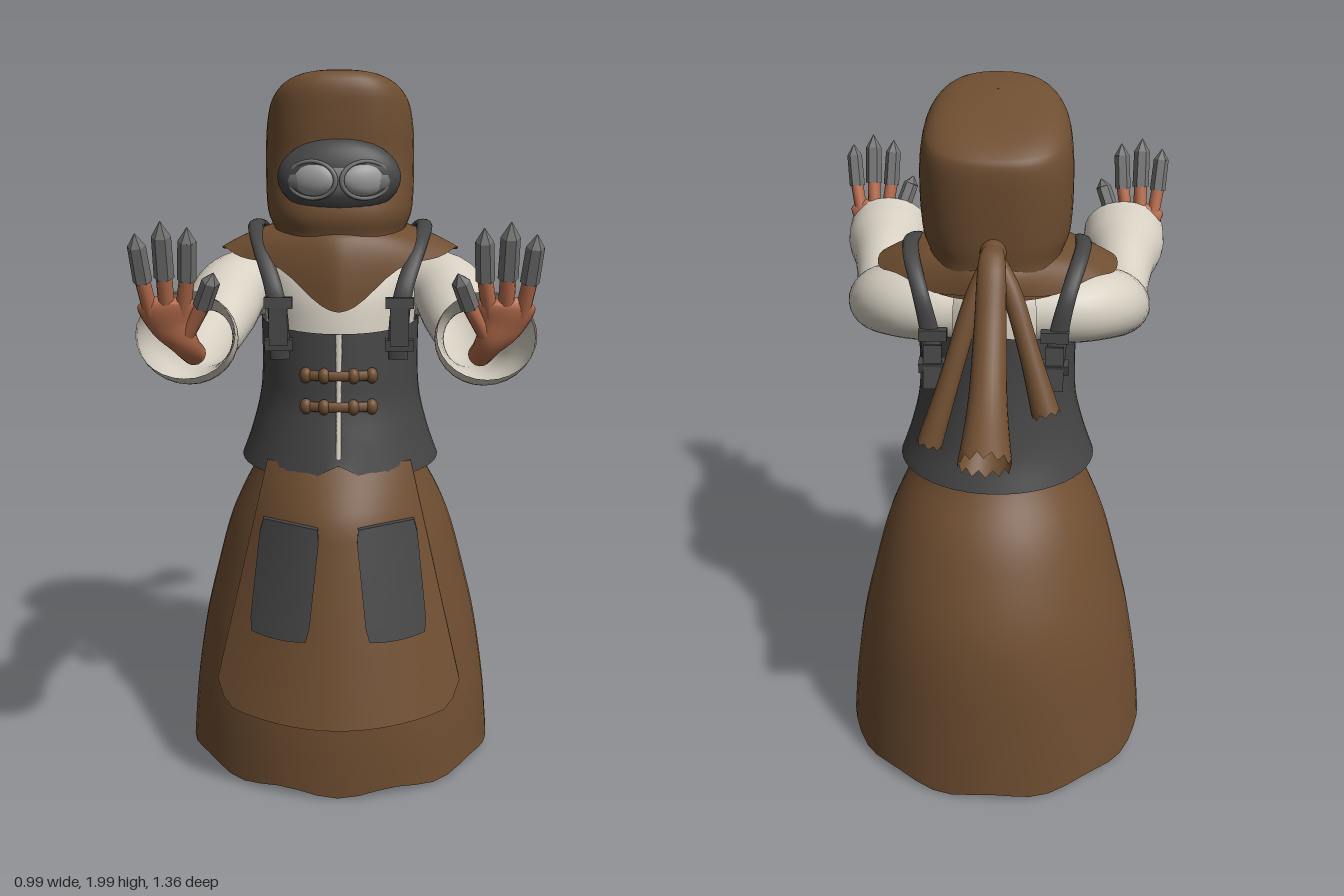
import * as THREE from 'three';

const flat = (name, color) => {
  const m = new THREE.MeshStandardMaterial({ color, side: THREE.DoubleSide });
  m.name = name;
  return m;
};
const MAT = {
  brown: flat('brown cloth', 0x6f4e31),
  dark: flat('dark leather', 0x454545),
  cream: flat('cream linen', 0xd6cfc2),
  skin: flat('skin', 0xb56c4c),
  metal: flat('claw metal', 0x737373),
  lens: flat('lens glass', 0x9a9a9c),
};

// Smooth interpolation through rows of numbers (all rows equally long)
function interp(rows, t) {
  const f = Math.min(Math.max(t, 0), 1) * (rows.length - 1);
  const i = Math.min(Math.floor(f), rows.length - 2), k = f - i;
  const a = rows[Math.max(i - 1, 0)], b = rows[i], c = rows[i + 1], d = rows[Math.min(i + 2, rows.length - 1)];
  return b.map((p1, n) => {
    const m0 = (c[n] - a[n]) / 2, m1 = (d[n] - p1) / 2;
    return p1 + k * (m0 + k * (3 * (c[n] - p1) - 2 * m0 - m1 + k * (2 * (p1 - c[n]) + m0 + m1)));
  });
}

// Closed skin around an axis: fn(angle, t) gives a point
function skin(nu, nv, fn, faceted = false) {
  const pos = [], idx = [];
  for (let j = 0; j <= nv; j++) for (let i = 0; i < nu; i++) pos.push(...fn(i / nu * Math.PI * 2, j / nv));
  for (let j = 0; j < nv; j++) for (let i = 0; i < nu; i++) {
    const a = j * nu + i, b = j * nu + (i + 1) % nu;
    idx.push(a, b, a + nu, b, b + nu, a + nu);
  }
  let g = new THREE.BufferGeometry();
  g.setAttribute('position', new THREE.Float32BufferAttribute(pos, 3));
  g.setIndex(idx);
  if (faceted) g = g.toNonIndexed();
  g.computeVertexNormals();
  return g;
}

// Upright form; rows are [y, halfWidth, zFront, zBack, tilt]
function loft(rows, { pow = 1, lift = () => 0 } = {}) {
  const sp = v => Math.sign(v) * Math.abs(v) ** pow;
  return skin(48, 32, (a, t) => {
    const [y, w, zf, zb, tilt = 0] = interp(rows, t);
    const z = (zf + zb) / 2 + (zf - zb) / 2 * sp(Math.cos(a));
    return [w * sp(Math.sin(a)), y + tilt * z + lift(a, t), z];
  });
}

// Tube along a path; rows are [x, y, z, radius along ref, other radius]
function limb(rows, ref, { seg = 16, steps = 20, faceted = false, fray = 0 } = {}) {
  const at = t => new THREE.Vector3(...interp(rows, t).slice(0, 3));
  return skin(seg, steps, (a, t) => {
    const [x, y, z, r1, r2] = interp(rows, t);
    const T = at(t + 0.01).sub(at(t - 0.01)).normalize();
    const n1 = ref.clone().addScaledVector(T, -ref.dot(T)).normalize();
    const n2 = T.clone().cross(n1);
    const p = new THREE.Vector3(x, y, z).addScaledVector(n1, r1 * Math.cos(a)).addScaledVector(n2, r2 * Math.sin(a));
    if (fray && t === 1) p.addScaledVector(T, fray * Math.cos(a * seg / 2));
    return p.toArray();
  }, faceted);
}

// Curved slab: fn(u, v, side) with u and v in -1..1
function slab(nx, ny, fn) {
  const g = new THREE.BoxGeometry(2, 2, 1, nx, ny, 1), p = g.attributes.position;
  for (let i = 0; i < p.count; i++) p.setXYZ(i, ...fn(p.getX(i), p.getY(i), p.getZ(i)));
  g.computeVertexNormals();
  return g;
}

// Apron surface shared by the pockets
const apronWidth = y => 0.215 + (0.87 - y) * 0.23;
function apronZ(x, y) {
  const mid = y > 0.8 ? 0.34 - (y - 0.8) * 0.6 : 0.34 + (0.8 - y) * 0.21;
  const edge = 0.205 + (0.8 - y) * 0.15;
  return mid - (mid - edge) * (x / apronWidth(y)) ** 2;
}

export function createModel() {
  const model = new THREE.Group();
  const X = new THREE.Vector3(1, 0, 0), Y = new THREE.Vector3(0, 1, 0);
  const add = (name, geo, mat) => {
    const m = new THREE.Mesh(geo, mat);
    m.name = name;
    model.add(m);
    return m;
  };
  const ball = (name, mat, x, y, z, rx, ry, rz, turn = 0) => {
    const m = add(name, new THREE.SphereGeometry(1, 24, 16), mat);
    m.position.set(x, y, z);
    m.scale.set(rx, ry, rz);
    m.rotation.y = turn;
  };
  const box = (name, mat, x, y, z, w, h, d, tilt) => {
    const m = add(name, new THREE.BoxGeometry(w, h, d), mat);
    m.position.set(x, y, z);
    m.rotation.x = tilt;
  };

  // Skirt with a wavy hem
  add('skirt', loft([[0.02, 0.445, 0.365, -0.48], [0.2, 0.43, 0.37, -0.478], [0.4, 0.4, 0.355, -0.47],
    [0.55, 0.365, 0.335, -0.445], [0.7, 0.325, 0.305, -0.385], [0.8, 0.285, 0.28, -0.33],
    [0.9, 0.235, 0.25, -0.25], [0.99, 0.2, 0.2, -0.2]],
  { lift: (a, t) => (1 - t) ** 8 * (-0.01 * Math.cos(a * 2) - 0.01 * Math.cos(a * 9)) }), MAT.brown);

  // Apron with rounded lower corners
  add('apron', slab(24, 18, (u, v, s) => {
    const corner = 0.06 * Math.max(0, (Math.abs(u) - 0.8) / 0.2) ** 2;
    const y0 = 0.25 + 0.015 * u * u + corner, y = y0 + (0.94 - y0) * (v + 1) / 2, x = u * apronWidth(y);
    return [x, y, apronZ(x, y) - (s < 0 ? 0.035 : 0)];
  }), MAT.brown);
  for (const s of [1, -1]) add('apronPocket', slab(8, 8, (u, v, d) => {
    const cut = 1 - 0.08 * Math.max(0, (Math.abs(v) - 0.75) / 0.25);
    const y = 0.64 + 0.155 * v * (1 - 0.03 * u * u), x = s * (0.147 - 0.016 * v) + u * cut * 0.083;
    return [x, y, apronZ(x, y) + (d > 0 ? 0.02 : -0.005)];
  }), MAT.dark);

  // Shirt and bodice
  add('shirt', loft([[0.96, 0.22, 0.23, -0.21], [1.1, 0.21, 0.21, -0.2], [1.3, 0.21, 0.2, -0.195],
    [1.4, 0.215, 0.185, -0.19], [1.47, 0.19, 0.15, -0.17], [1.53, 0.1, 0.08, -0.1]]), MAT.cream);
  add('bodice', loft([[0.915, 0.28, 0.27, -0.265], [1.0, 0.25, 0.25, -0.235], [1.1, 0.226, 0.228, -0.217],
    [1.2, 0.22, 0.222, -0.208], [1.32, 0.222, 0.216, -0.21]], {
    lift: (a, t) => {
      const c = Math.cos(a), x = Math.sin(a);
      return t ** 3 * (c < 0 ? 0.045 * c * c : -0.02 * c)
        + (1 - t) ** 4 * (c > 0 ? 0.045 * Math.exp(-30 * x * x) - 0.015 * c : 0);
    },
  }), MAT.dark);
  add('bodiceOpening', limb([[0, 0.955, 0.261, 0.008, 0.004], [0, 1.03, 0.245, 0.007, 0.004],
    [0, 1.12, 0.227, 0.007, 0.004], [0, 1.3, 0.218, 0.009, 0.004]], X, { seg: 8 }), MAT.cream);

  // Toggles across the opening
  for (const [y, z] of [[1.185, 0.222], [1.1, 0.23]]) {
    add('toggleCord', limb([-0.1, -0.05, 0, 0.05, 0.1].map(x => [x, y, z - 1.7 * x * x, 0.014, 0.01]), Y, { seg: 10 }), MAT.brown);
    for (const x of [-0.09, -0.04, 0.04, 0.09]) ball('toggleKnot', MAT.brown, x, y, z - 1.7 * x * x, 0.017, 0.022, 0.017);
  }

  // Hood and shoulder cape
  add('hood', loft([[1.47, 0.2, 0.2, -0.2, 0], [1.55, 0.18, 0.19, -0.2, 0], [1.62, 0.2, 0.205, -0.21, 0],
    [1.74, 0.205, 0.175, -0.22, 0], [1.85, 0.2, 0.178, -0.222, 0.08], [1.915, 0.18, 0.175, -0.2, 0.24],
    [1.95, 0.125, 0.135, -0.13, 0.32], [1.965, 0.002, 0.032, 0.028, 0.33]], { pow: 0.78 }), MAT.brown);
  add('shoulderCape', skin(64, 10, (a, t) => {
    const c = Math.cos(a), s = Math.sin(a);
    const ox = 0.33 * s * Math.abs(s) ** 0.6, oz = c > 0 ? 0.235 * c : 0.215 * c - 0.01 * c * c;
    const oy = 1.505 - (c > 0 ? 0.15 * c ** 5 : 0.03 * c * c) + 0.008 * Math.cos(9 * a);
    const inX = 0.175 * s, inZ = 0.185 * c;
    return [ox + (inX - ox) * t, oy + (1.57 - oy) * (1 - (1 - t) ** 1.6), oz + (inZ - oz) * t * t];
  }), MAT.brown);

  // Face opening and goggles
  ball('faceMask', MAT.dark, 0, 1.715, 0.16, 0.165, 0.105, 0.062);
  ball('goggleBody', MAT.metal, 0, 1.71, 0.168, 0.152, 0.066, 0.06);
  for (const s of [1, -1]) {
    ball('goggleLens', MAT.lens, s * 0.07, 1.712, 0.198, 0.066, 0.045, 0.028, s * 0.35);
    const rim = add('goggleRim', new THREE.TorusGeometry(0.066, 0.007, 8, 28), MAT.metal);
    rim.position.set(s * 0.07, 1.712, 0.21);
    rim.scale.y = 0.74;
    rim.rotation.y = s * 0.35;
  }

  // Knot and three hanging tails behind the hood
  ball('tailKnot', MAT.brown, 0, 1.62, -0.235, 0.035, 0.035, 0.035);
  add('longTail', limb([[0, 1.63, -0.22, 0.02, 0.015], [0, 1.62, -0.3, 0.035, 0.02], [0, 1.47, -0.39, 0.042, 0.035],
    [0, 1.33, -0.52, 0.05, 0.045], [0, 1.23, -0.655, 0.068, 0.058]], X, { seg: 24, fray: 0.01 }), MAT.brown);
  add('shortTail', limb([[0, 1.62, -0.23, 0.02, 0.015], [0.05, 1.5, -0.27, 0.026, 0.022],
    [0.11, 1.3, -0.32, 0.028, 0.026], [0.165, 1.12, -0.355, 0.035, 0.032]], X, { fray: 0.006 }), MAT.brown);
  add('shortTail', limb([[0, 1.62, -0.23, 0.02, 0.015], [-0.05, 1.53, -0.28, 0.026, 0.022],
    [-0.1, 1.38, -0.335, 0.028, 0.026], [-0.145, 1.23, -0.38, 0.038, 0.034]], X, { fray: 0.006 }), MAT.brown);

  for (const s of [1, -1]) {
    const side = rows => rows.map(([x, ...r]) => [s * x, ...r]);

    // Sleeve with a wide, open cuff
    add('sleeve', limb(side([[0.1, 1.4, -0.09, 0.09, 0.09], [0.22, 1.4, -0.07, 0.095, 0.1], [0.3, 1.385, 0, 0.098, 0.105],
      [0.33, 1.335, 0.11, 0.09, 0.102], [0.345, 1.297, 0.21, 0.075, 0.085], [0.355, 1.305, 0.3, 0.078, 0.078],
      [0.36, 1.335, 0.42, 0.1, 0.095], [0.365, 1.35, 0.53, 0.115, 0.122], [0.367, 1.375, 0.61, 0.108, 0.122]]),
    Y, { seg: 28, steps: 40 }), MAT.cream);

    // Hand with metal claws
    add('palm', limb(side([[0.36, 1.3, 0.48, 0.03, 0.03], [0.375, 1.34, 0.55, 0.036, 0.03],
      [0.405, 1.4, 0.575, 0.06, 0.024], [0.413, 1.45, 0.59, 0.07, 0.02], [0.413, 1.465, 0.595, 0.002, 0.002]]), X), MAT.skin);
    const finger = (base, mid, tip, r) => {
      const neck = mid.map((v, i) => v + (tip[i] - v) * 0.7);
      const cuff = base.map((v, i) => v + (mid[i] - v) * 0.85);
      const claw = (from, to, r0, r1) => add('claw',
        limb(side([[...from, r0, r0], [...to, r1, r1]]), X, { seg: 6, steps: 1, faceted: true }), MAT.metal);
      add('finger', limb(side([[...base, r, r], [...mid, r, r]]), X, { seg: 10, steps: 2 }), MAT.skin);
      claw(cuff, neck, r * 1.25, r * 1.2);
      claw(neck, tip, r * 1.2, 0.001);
    };
    finger([0.375, 1.42, 0.582], [0.357, 1.525, 0.613], [0.352, 1.64, 0.645], 0.019);
    finger([0.413, 1.43, 0.584], [0.414, 1.53, 0.615], [0.415, 1.655, 0.65], 0.02);
    finger([0.452, 1.42, 0.582], [0.469, 1.52, 0.613], [0.477, 1.625, 0.645], 0.019);
    finger([0.365, 1.37, 0.572], [0.318, 1.455, 0.6], [0.292, 1.53, 0.635], 0.019);

    // Shoulder strap with front and back buckles
    add('strap', limb(side([[0.16, 1.23, 0.205, 0.027, 0.009], [0.163, 1.34, 0.212, 0.027, 0.009],
      [0.178, 1.43, 0.2, 0.024, 0.011], [0.215, 1.525, 0.12, 0.022, 0.012], [0.235, 1.565, 0.0, 0.022, 0.012],
      [0.225, 1.555, -0.11, 0.022, 0.012], [0.195, 1.48, -0.19, 0.022, 0.012], [0.17, 1.36, -0.205, 0.026, 0.01],
      [0.16, 1.23, -0.235, 0.026, 0.009]]), X, { seg: 12, steps: 48 }), MAT.dark);
    for (const [y, z, tilt] of [[1.385, 0.212, -0.1], [1.27, 0.205, 0], [1.375, -0.21, 0.1], [1.29, -0.222, -0.2]])
      box('buckle', MAT.dark, s * 0.163, y, z, 0.076, 0.03, 0.034, tilt);
    box('strapTongue', MAT.dark, s * 0.163, 1.33, 0.222, 0.05, 0.12, 0.016, -0.05);
    box('strapTongue', MAT.dark, s * 0.163, 1.29, -0.232, 0.05, 0.12, 0.016, 0.2);
  }
  return model;
}
